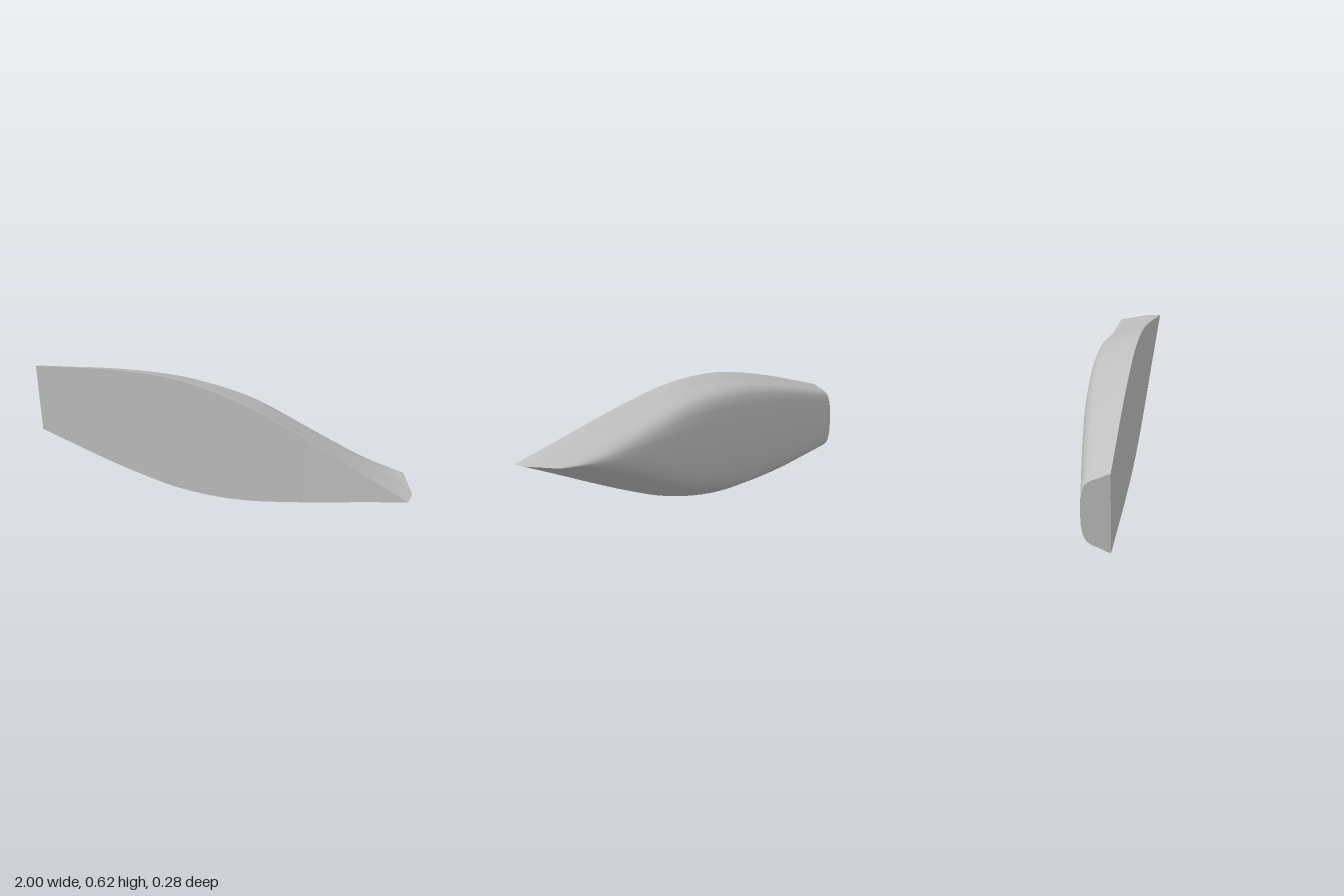
import * as THREE from 'three';

const MID_Y = 0.311;
const STATIONS = 48;

// Smooth lookup of y for x through a few control points
function curve(points) {
  const spline = new THREE.SplineCurve(points.map(([x, y]) => new THREE.Vector2(x, y)));
  const dense = spline.getPoints(400);
  return (x) => {
    const k = dense.findIndex((p) => p.x >= x);
    if (k < 0) return dense[dense.length - 1].y;
    if (k === 0) return dense[0].y;
    const a = dense[k - 1], b = dense[k];
    return a.y + ((b.y - a.y) * (x - a.x)) / (b.x - a.x);
  };
}

// Lines of the boat along its length, transom at -x and bow at +x
const halfBeam = curve([[-1, 0.19], [-0.8, 0.229], [-0.6, 0.267], [-0.4, 0.295], [-0.2, 0.311],
  [0, 0.3], [0.2, 0.265], [0.4, 0.207], [0.6, 0.14], [0.8, 0.069], [1, 0]]);
const deckZ = curve([[-1, 0.068], [-0.5, 0.077], [0, 0.091], [0.5, 0.112], [1, 0.138]]);
const keelZ = curve([[-1, -0.055], [-0.6, -0.102], [-0.3, -0.13], [0, -0.142], [0.3, -0.137],
  [0.6, -0.118], [0.9, -0.092], [1, -0.075]]);

// Half section: depth from deck to keel, width amidships, width at the bow
const SECTION = [[0, 1, 1], [0.08, 0.985, 0.94], [0.2, 0.95, 0.84], [0.31, 0.91, 0.74],
  [0.45, 0.865, 0.63], [0.62, 0.82, 0.5], [0.76, 0.755, 0.4], [0.86, 0.67, 0.31],
  [0.93, 0.53, 0.23], [0.98, 0.32, 0.13], [1, 0, 0]];

function section(x) {
  const bow = THREE.MathUtils.smoothstep(x, 0.1, 1);
  const rake = 0.08 * THREE.MathUtils.clamp((x - 0.6) / 0.4, 0, 1);
  const side = SECTION.map(([t, mid, sharp]) => [
    x - rake * Math.max(0, (t - 0.31) / 0.69),
    halfBeam(x) * THREE.MathUtils.lerp(mid, sharp, bow),
    THREE.MathUtils.lerp(deckZ(x), keelZ(x), t),
  ]);
  const other = side.slice(0, -1).reverse().map(([px, py, pz]) => [px, -py, pz]);
  return [...side, ...other].map(([px, py, pz]) => [px, py + MID_Y, pz]);
}

function surface(name, points, index, material) {
  const geometry = new THREE.BufferGeometry();
  geometry.setAttribute('position', new THREE.Float32BufferAttribute(points.flat(), 3));
  geometry.setIndex(index);
  geometry.computeVertexNormals();
  const mesh = new THREE.Mesh(geometry, material);
  mesh.name = name;
  return mesh;
}

// Triangles joining consecutive rows of n points
function skin(rows, n) {
  const index = [];
  for (let i = 0; i < rows - 1; i++) {
    for (let j = 0; j < n - 1; j++) {
      const a = i * n + j, b = a + n;
      index.push(a, b, a + 1, b, b + 1, a + 1);
    }
  }
  return index;
}

export function createModel() {
  const group = new THREE.Group();
  group.name = 'boatHull';
  const grey = new THREE.MeshStandardMaterial({ color: 0xbfbfbf });
  grey.name = 'hullGrey';

  const rows = [];
  for (let i = 0; i <= STATIONS; i++) rows.push(section(-1 + (2 * i) / STATIONS));
  const n = rows[0].length;

  // Rounded hull, narrowing to a raked stem
  group.add(surface('hull', rows.flat(), skin(rows.length, n), grey));

  // Flat deck closing the open side
  const deck = rows.flatMap((row) => [row[n - 1], row[0]]);
  group.add(surface('deck', deck, skin(rows.length, 2), grey));

  // Flat transom
  const fan = [];
  for (let j = 1; j < n - 1; j++) fan.push(0, j, j + 1);
  group.add(surface('transom', rows[0], fan, grey));

  return group;
}
